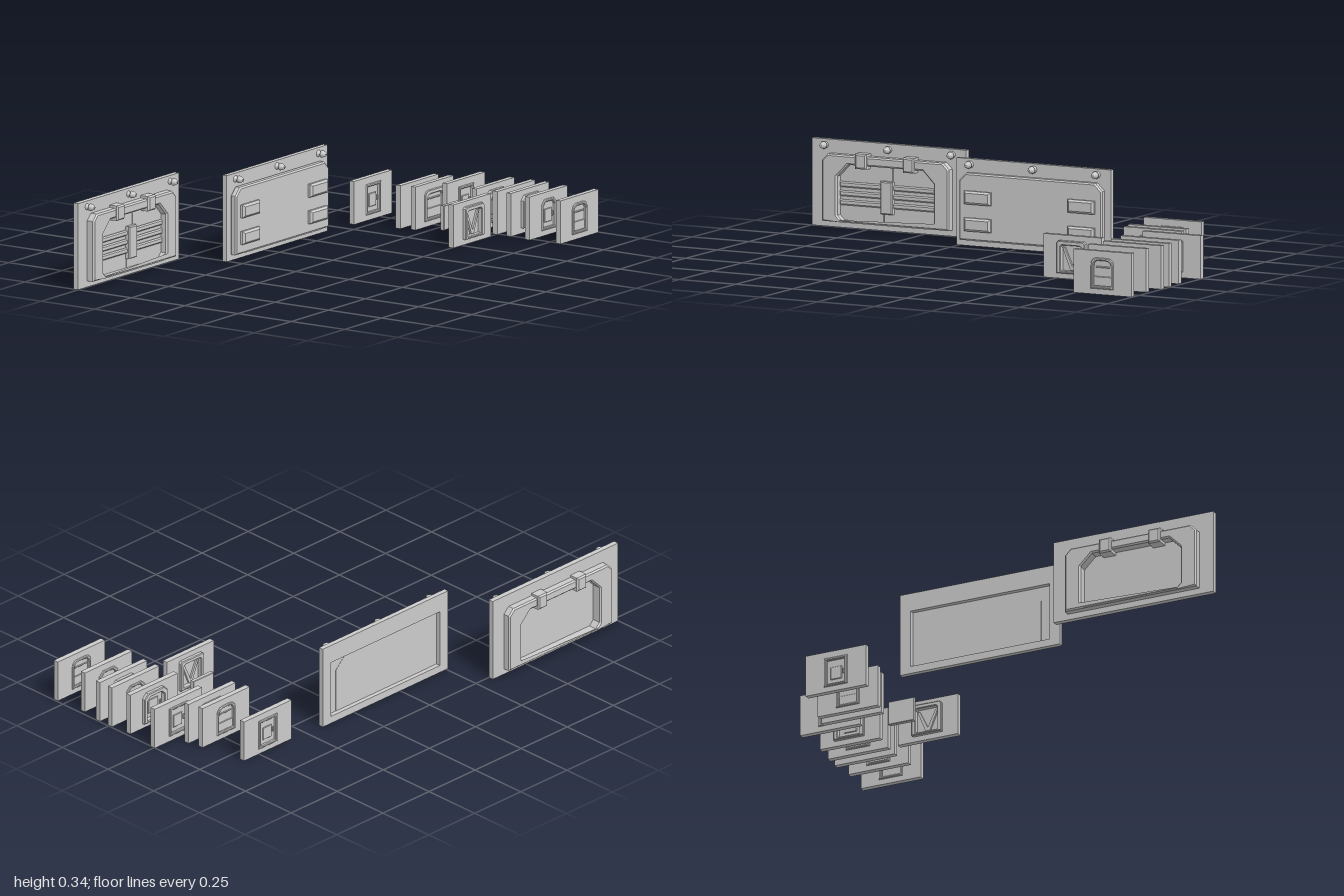
import * as THREE from 'three';

const mat = new THREE.MeshStandardMaterial({ color: 0xcccccc });

// Outline standing on y0: square, chamfered (cut) or rounded upper corners
function outline(hw, y0, y1, cut = 0, round = false, low = 0) {
  const s = new THREE.Shape();
  s.moveTo(-hw + low, y0);
  s.lineTo(hw - low, y0);
  if (low) s.lineTo(hw, y0 + low);
  s.lineTo(hw, y1 - cut);
  if (round) s.quadraticCurveTo(hw, y1, hw - cut, y1);
  else if (cut) s.lineTo(hw - cut, y1);
  else s.lineTo(hw, y1);
  s.lineTo(-hw + cut, y1);
  if (round) s.quadraticCurveTo(-hw, y1, -hw, y1 - cut);
  else if (cut) s.lineTo(-hw, y1 - cut);
  if (low) s.lineTo(-hw, y0 + low);
  s.closePath();
  return s;
}

function polygon(points) {
  return new THREE.Shape(points.map(([x, y]) => new THREE.Vector2(x, y)));
}

// Plate between depths w0 and w1, optionally with a hole and bevelled edges
function slab(parent, name, shape, w0, w1, hole = null, b = 0) {
  if (hole) shape.holes.push(hole);
  const geo = new THREE.ExtrudeGeometry(shape, {
    depth: w1 - w0 - 2 * b, curveSegments: 6, bevelEnabled: b > 0,
    bevelThickness: b, bevelSize: b, bevelOffset: -b, bevelSegments: 1,
  });
  geo.translate(0, 0, w0 + b);
  return add(parent, name, geo);
}

function add(parent, name, geo) {
  const mesh = new THREE.Mesh(geo, mat);
  mesh.name = name;
  parent.add(mesh);
  return mesh;
}

// Bevelled block given by its extents
function block(parent, name, x0, x1, y0, y1, w0, w1, b = 0.004) {
  return slab(parent, name, polygon([[x0, y0], [x1, y0], [x1, y1], [x0, y1]]), w0, w1, null, b);
}

// Each panel is built facing +z and then turned to face +x
function panelGroup(root, name, x, z) {
  const g = new THREE.Group();
  g.name = name;
  g.rotation.y = Math.PI / 2;
  g.position.set(x, 0, z);
  root.add(g);
  return g;
}

// Row of three lamps along the top of a gate wall
function lamps(g) {
  const profile = [[0.015, 0], [0.008, 0.008], [0.008, 0.014], [0.015, 0.017], [0.013, 0.024], [0.008, 0.035], [0, 0.035]]
    .map(([r, h]) => new THREE.Vector2(r, h));
  for (const x of [-0.28, 0, 0.28]) {
    const lamp = add(g, 'lamp', new THREE.LatheGeometry(profile, 12));
    lamp.rotation.x = Math.PI / 2;
    lamp.position.set(x, 0.317, 0.009);
  }
}

// Two leaf halves that meet along a stepped seam
function splitLeaf(g, hw, y0, y1, cut, seam, w0, w1) {
  const gap = 0.002;
  slab(g, 'leftLeaf', polygon([[-hw, y0], ...seam.map(([x, y]) => [x - gap, y]),
    [-hw + cut, y1], [-hw, y1 - cut]]), w0, w1);
  slab(g, 'rightLeaf', polygon([[hw, y0], [hw, y1 - cut], [hw - cut, y1],
    ...seam.map(([x, y]) => [x + gap, y]).reverse()]), w0, w1);
  slab(g, 'leafBacking', outline(hw, y0, y1, cut), w0 - 0.004, w0);
}

// Gate with a deep frame on both faces and a ribbed leaf
function ribbedGate(root) {
  const g = panelGroup(root, 'ribbedGate', -0.511, 0.66);
  const opening = () => outline(0.213, 0.03, 0.25, 0.048, false, 0.02);
  slab(g, 'wall', outline(0.34, 0, 0.34), -0.011, 0.011, opening());
  slab(g, 'frame', outline(0.28, 0.024, 0.287, 0.025), -0.042, 0.043, opening(), 0.006);
  splitLeaf(g, 0.213, 0.03, 0.25, 0.048,
    [[-0.02, 0.03], [-0.02, 0.12], [0.02, 0.15], [0.02, 0.25]], 0.002, 0.014);
  for (const y of [0.1, 0.135, 0.17])
    block(g, 'rib', -0.212, 0.212, y - 0.011, y + 0.011, 0.012, 0.024, 0.005);
  block(g, 'lockBlock', -0.027, 0.027, 0.067, 0.195, 0.012, 0.034);
  for (const x of [-0.105, 0.105])
    block(g, 'clamp', x - 0.025, x + 0.025, 0.238, 0.297, -0.052, 0.051, 0.006);
  lamps(g);
}

// Gate framed on its front face, with locking bars held by four clamps
function barredGate(root) {
  const g = panelGroup(root, 'barredGate', -0.328, -0.08);
  slab(g, 'wall', outline(0.34, 0, 0.34), -0.01, 0.01, outline(0.295, 0.03, 0.265));
  const opening = () => outline(0.25, 0.03, 0.25, 0.045);
  slab(g, 'frame', outline(0.315, 0.024, 0.287, 0.03), 0.009, 0.038, opening(), 0.006);
  splitLeaf(g, 0.252, 0.028, 0.252, 0.045,
    [[0.02, 0.028], [0.02, 0.06], [-0.015, 0.085], [-0.015, 0.18], [0.02, 0.2], [-0.01, 0.22], [-0.01, 0.252]],
    0.012, 0.02);
  for (const y of [0.088, 0.193]) {
    block(g, 'lockingBar', -0.2, 0.2, y - 0.012, y + 0.012, 0.018, 0.034);
    for (const s of [-1, 1])
      block(g, 'clamp', s * 0.228 - 0.058, s * 0.228 + 0.058, y - 0.026, y + 0.026, 0.01, 0.055, 0.008);
  }
  for (const y of [0.127, 0.15])
    block(g, 'rib', -0.21, 0.21, y - 0.006, y + 0.006, 0.018, 0.026, 0.003);
  slab(g, 'centreLock', polygon([[-0.037, 0.13], [-0.02, 0.118], [0.02, 0.118], [0.037, 0.13],
    [0.037, 0.147], [0.02, 0.16], [-0.02, 0.16], [-0.037, 0.147]]), 0.018, 0.036, null, 0.003);
  lamps(g);
}

// Small doorway: wall, frame on both faces and a recessed leaf
function smallDoor(root, { x, z, hw, top, depth, cut = 0, round = false, detail }) {
  const g = panelGroup(root, 'smallDoor', x, z);
  const rim = hw > 0.055 ? 0.017 : 0.011;
  const inner = () => outline(hw - rim, 0.032, top - rim, cut * 0.8, round);
  slab(g, 'wall', outline(0.128, 0, 0.17), -0.011, 0.011, inner());
  slab(g, 'frame', outline(hw, 0.022, top, cut, round), -depth, depth, inner(), 0.003);
  slab(g, 'leaf', inner(), -0.005, 0.005);
  const w = hw - rim;
  for (const s of [-1, 1]) {
    const side = new THREE.Group();
    side.name = 'leafDetail';
    side.rotation.y = s > 0 ? 0 : Math.PI;
    g.add(side);
    if (detail === 'vee') {
      // Two slanted braces meeting at the sill
      for (const m of [-1, 1]) {
        const pts = [[0, 0.034], [m * 0.008, 0.034], [m * 0.043, 0.122], [m * 0.033, 0.122], [0, 0.05]];
        slab(side, 'brace', polygon(m > 0 ? pts : pts.reverse()), 0.004, 0.013);
      }
    } else if (detail === 'sill') {
      block(side, 'kickPlate', -w, w, 0.032, 0.07, 0.004, 0.009, 0.002);
      block(side, 'lintel', -w * 0.8, w * 0.8, 0.104, 0.11, 0.004, 0.009, 0.002);
    } else {
      block(side, 'inset', -w * 0.6, w * 0.6, 0.05, top - 0.04, 0.004, 0.009, 0.002);
      block(side, 'handle', w * 0.7, w * 0.88, 0.07, 0.09, 0.004, 0.011, 0.002);
    }
  }
}

export function createModel() {
  const root = new THREE.Group();
  root.name = 'doorSet';
  ribbedGate(root);
  barredGate(root);

  const narrow = { hw: 0.05, top: 0.143, depth: 0.016 };
  const wide = { hw: 0.063, top: 0.149, depth: 0.026 };
  const doors = [
    { ...narrow, x: -0.31, z: -0.702, detail: 'inset' },
    { ...narrow, x: -0.12, z: -0.74, cut: 0.035, round: true, detail: 'sill' },
    { ...narrow, x: -0.058, z: -0.754, hw: 0.069, cut: 0.03, round: true, detail: 'sill' },
    { ...narrow, x: 0.006, z: -0.874, detail: 'inset' },
    { ...wide, x: 0.154, z: -0.86, cut: 0.02, detail: 'inset' },
    { ...narrow, x: 0.246, z: -0.868, cut: 0.02, detail: 'sill' },
    { ...wide, x: 0.246, z: -0.571, cut: 0.008, detail: 'vee' },
    { ...wide, x: 0.31, z: -0.87, cut: 0.02, detail: 'inset' },
    { ...narrow, x: 0.406, z: -0.857, cut: 0.02, detail: 'inset' },
    { ...narrow, x: 0.543, z: -0.868, cut: 0.03, round: true, detail: 'sill' },
  ];
  doors.forEach((d) => smallDoor(root, d));

  // Loose leaf standing apart from its frame
  const loose = panelGroup(root, 'looseLeaf', 0.116, -0.625);
  slab(loose, 'leaf', outline(0.055, 0.03, 0.127), -0.009, 0.009, null, 0.002);
  return root;
}
